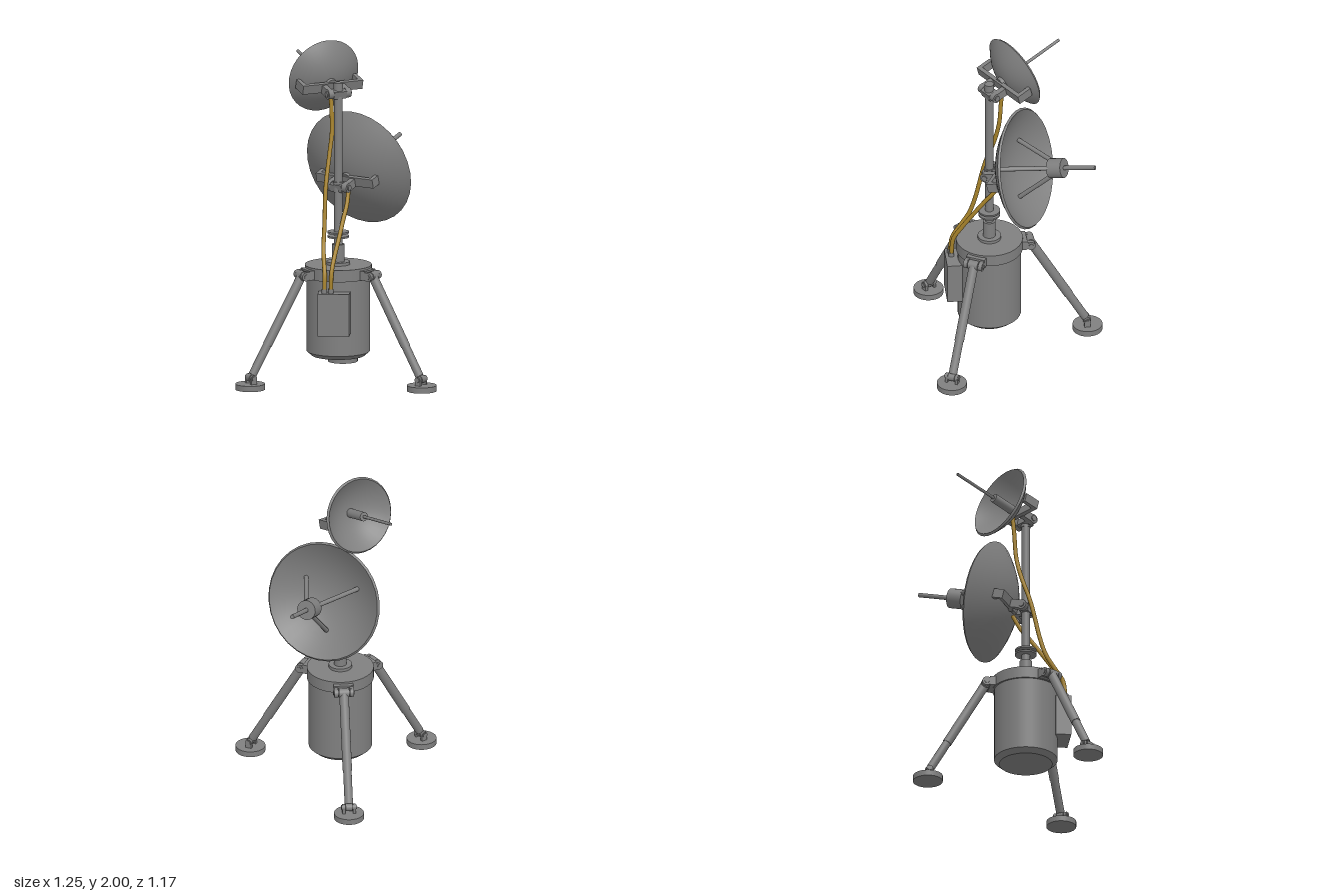
import * as THREE from 'three';
import { toCreasedNormals } from 'three/addons/utils/BufferGeometryUtils.js';

const grey = new THREE.MeshStandardMaterial({ color: 0x808080 });
grey.name = 'grey metal';
const mustard = new THREE.MeshStandardMaterial({ color: 0xa6822a });
mustard.name = 'mustard cable';

const AXIS = 0.041; // x of the mast and drum
const V = (x, y, z) => new THREE.Vector3(x, y, z);

function add(parent, name, geometry, material = grey) {
  const mesh = new THREE.Mesh(geometry, material);
  mesh.name = name;
  parent.add(mesh);
  return mesh;
}

function box(parent, name, w, h, d, x, y, z) {
  const m = add(parent, name, new THREE.BoxGeometry(w, h, d));
  m.position.set(x, y, z);
  return m;
}

// Cylinder running from point a to point b
function rod(parent, name, a, b, r0, r1 = r0, sides = 20) {
  const dir = b.clone().sub(a);
  const m = add(parent, name, new THREE.CylinderGeometry(r1, r0, dir.length(), sides));
  m.position.copy(a).add(b).multiplyScalar(0.5);
  m.quaternion.setFromUnitVectors(V(0, 1, 0), dir.normalize());
  return m;
}

// Thin parabolic shell with a short lip, opening along +z, vertex at the origin
function dishGeometry(radius, depth) {
  const t = 0.01, lip = 0.012, n = 12, pts = [];
  for (let i = 0; i <= n; i++) pts.push(new THREE.Vector2(radius * i / n, (depth - lip) * (i / n) ** 2));
  for (let i = n; i >= 0; i--) {
    pts.push(new THREE.Vector2((radius - t) * i / n, t + (depth - t) * (i / n) ** 2));
  }
  return toCreasedNormals(new THREE.LatheGeometry(pts, 32).rotateX(Math.PI / 2), 0.6);
}

// Dish with its mount; local origin is the tilt pivot and local +z is the aim
function antenna(name, o) {
  const g = new THREE.Group();
  g.name = name;
  g.rotation.order = 'YXZ';
  g.rotation.set(-Math.PI / 12, o.azimuth, 0);
  g.position.set(AXIS, o.y, 0);

  // Pivot block, clevis and U-shaped frame
  box(g, 'pivotBlock', 0.08, 0.045, 0.06, 0, 0, 0);
  rod(g, 'pivotPin', V(-0.08, 0, 0), V(0.08, 0, 0), 0.017);
  for (const s of [-1, 1]) {
    rod(g, 'pivotBoss', V(s * 0.04, 0, 0), V(s * 0.073, 0, 0), 0.029);
    box(g, 'clevisArm', 0.033, 0.05, 0.075, s * 0.0565, 0, 0.037);
    box(g, 'frameArm', 0.025, 0.055, o.armEnd - 0.07, s * 0.183, 0.005, (o.armEnd + 0.07) / 2);
  }
  box(g, 'frameBar', 0.39, 0.055, 0.024, 0, 0.005, 0.082);

  // Reflector and its hub behind
  const head = new THREE.Group();
  head.name = 'reflectorHead';
  head.position.set(0, o.up, o.rim - o.depth);
  g.add(head);
  add(head, 'dish', dishGeometry(o.radius, o.depth));
  rod(head, 'dishHub', V(0, -0.01, -0.02), V(0, -0.01, 0.006), 0.035);

  // Feed horn and probe
  rod(head, 'feedHorn', V(0, 0, o.feed[0]), V(0, 0, o.feed[1]), o.feedRadius);
  rod(head, 'feedProbe', V(0, 0, o.feed[1]), V(0, 0, o.tip), o.probeRadius, o.probeRadius, 12);
  if (o.struts) {
    const r = 0.195, base = o.depth * (r / o.radius) ** 2;
    for (const deg of [30, 150, 270]) {
      const c = Math.cos(deg * Math.PI / 180), s = Math.sin(deg * Math.PI / 180);
      rod(head, 'feedStrut', V(c * r, s * r, base), V(c * 0.035, s * 0.035, o.feed[0] + 0.025), 0.0135, 0.0135, 12);
    }
  }
  return g;
}

// Leg running outward along local +x
function leg(angle) {
  const g = new THREE.Group();
  g.name = 'leg';
  g.position.x = AXIS;
  g.rotation.y = angle;
  const top = V(0.238, 0.645, 0), ankle = V(0.572, 0.068, 0);
  const at = (k) => top.clone().lerp(ankle, k);

  // Shoulder bracket
  box(g, 'shoulderBlock', 0.035, 0.055, 0.115, 0.2, 0.65, 0);
  for (const s of [-1, 1]) {
    box(g, 'shoulderLug', 0.05, 0.046, 0.022, 0.216, 0.648, s * 0.045);
    rod(g, 'shoulderBoss', V(0.238, 0.645, s * 0.034), V(0.238, 0.645, s * 0.058), 0.026);
  }
  rod(g, 'shoulderPin', V(0.238, 0.645, -0.062), V(0.238, 0.645, 0.062), 0.014);
  rod(g, 'legKnuckle', V(0.238, 0.645, -0.03), V(0.238, 0.645, 0.03), 0.028);

  // Telescoping tubes
  rod(g, 'upperTube', at(0), at(0.68), 0.0275);
  rod(g, 'lowerTube', at(0.66), at(0.97), 0.0245);

  // Ankle and round foot pad
  rod(g, 'anklePin', V(0.572, 0.068, -0.045), V(0.572, 0.068, 0.045), 0.014);
  rod(g, 'ankleKnuckle', V(0.572, 0.068, -0.02), V(0.572, 0.068, 0.02), 0.023);
  for (const s of [-1, 1]) {
    box(g, 'ankleLug', 0.036, 0.04, 0.016, 0.572, 0.05, s * 0.031);
    rod(g, 'ankleBoss', V(0.572, 0.068, s * 0.023), V(0.572, 0.068, s * 0.039), 0.02);
  }
  rod(g, 'footPad', V(0.577, 0, 0), V(0.577, 0.034, 0), 0.087, 0.087, 32);
  return g;
}

export function createModel() {
  const model = new THREE.Group();
  model.name = 'antennaStation';
  const up = (name, y0, y1, r0, r1 = r0) => rod(model, name, V(AXIS, y0, 0), V(AXIS, y1, 0), r0, r1, 40);

  // Drum body
  up('drumChamfer', 0.152, 0.178, 0.155, 0.185);
  up('drum', 0.178, 0.63, 0.185);
  up('drumCollar', 0.62, 0.69, 0.195);

  // Mast
  up('mastFlange', 0.69, 0.708, 0.068);
  up('mastSleeve', 0.7, 0.81, 0.037);
  up('mast', 0.8, 1.7, 0.024);
  up('mastCap', 1.67, 1.767, 0.027);
  for (const y of [0.855, 0.88]) up('mastRing', y - 0.005, y + 0.005, 0.063);
  up('mastClamp', 1.12, 1.18, 0.031);

  for (const a of [Math.PI, Math.PI / 3, -Math.PI / 3]) model.add(leg(a));

  // Control box on the drum
  const out = V(-0.53, 0, 0.848);
  const control = box(model, 'controlBox', 0.185, 0.25, 0.09, -0.077, 0.435, 0.173);
  control.rotation.y = Math.atan2(out.x, out.z);

  // Antennas
  model.add(antenna('upperAntenna', {
    azimuth: Math.PI, y: 1.703, radius: 0.226, depth: 0.11, rim: 0.212, up: 0.023, armEnd: 0.165,
    feed: [0.004, 0.153], feedRadius: 0.027, tip: 0.435, probeRadius: 0.009,
  }));
  model.add(antenna('lowerAntenna', {
    azimuth: Math.PI * 2 / 3, y: 1.15, radius: 0.355, depth: 0.15, rim: 0.249, up: 0.02, armEnd: 0.135,
    feed: [0.303, 0.393], feedRadius: 0.058, tip: 0.595, probeRadius: 0.013, struts: true,
  }));

  // Cables from the control box, each with a small socket
  const cables = [
    [V(-0.132, 0.56, 0.158), V(-0.123, 0.67, 0.145), V(-0.105, 0.74, 0.1), V(-0.083, 0.82, 0.053),
      V(-0.063, 0.92, 0.025), V(-0.03, 1.157, -0.02), V(0.015, 1.34, -0.06), V(0.038, 1.46, -0.075),
      V(AXIS, 1.6, -0.086), V(AXIS, 1.72, -0.1)],
    [V(-0.097, 0.56, 0.173), V(-0.088, 0.68, 0.165), V(-0.052, 0.765, 0.132), V(0, 0.865, 0.09),
      V(0.05, 0.96, 0.045), V(0.095, 1.04, 0.005), V(0.125, 1.125, -0.03)],
  ];
  for (const path of cables) {
    add(model, 'cable', new THREE.TubeGeometry(new THREE.CatmullRomCurve3(path), 60, 0.0125, 10), mustard);
    rod(model, 'cableSocket', path[0], path[0].clone().add(V(0, 0.025, 0)), 0.016);
  }
  return model;
}
